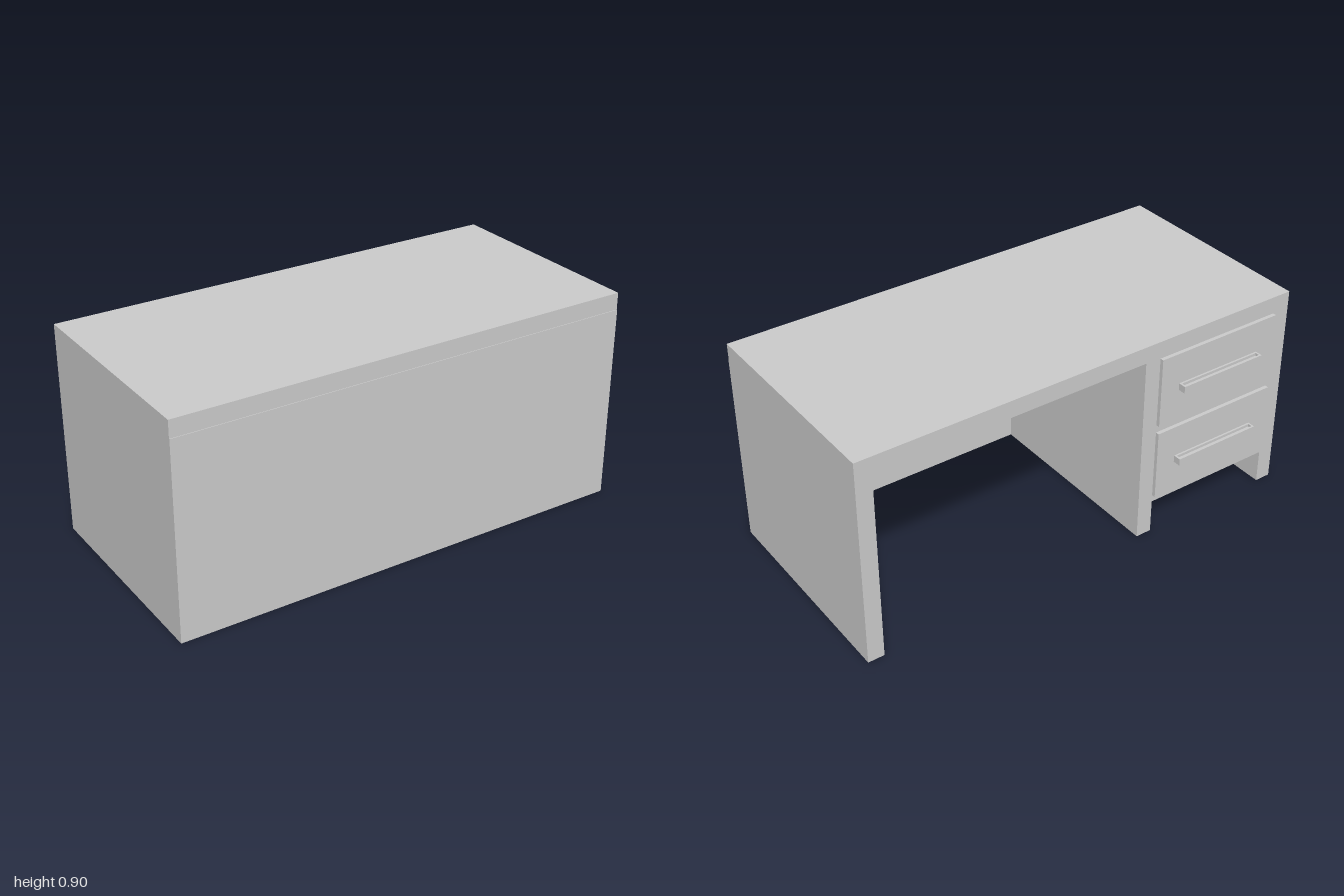
import * as THREE from 'three';

const material = new THREE.MeshStandardMaterial({ color: 0xcccccc, flatShading: true });

// Box given by its min and max extents on each axis
function box(name, [x0, x1], [y0, y1], [z0, z1]) {
  const mesh = new THREE.Mesh(new THREE.BoxGeometry(x1 - x0, y1 - y0, z1 - z0), material);
  mesh.position.set((x0 + x1) / 2, (y0 + y1) / 2, (z0 + z1) / 2);
  mesh.name = name;
  return mesh;
}

// Bar pull with a shallow finger groove along its top
function createHandle(y) {
  const handle = new THREE.Group();
  handle.name = 'handle';
  const x0 = -0.83, x1 = -0.43, z0 = -0.495, z1 = -0.461, t = 0.008;
  const base = [y - 0.015, y + 0.003], rim = [y + 0.003, y + 0.015];
  handle.add(
    box('handleBase', [x0, x1], base, [z0, z1]),
    box('handleOuterRim', [x0, x1], rim, [z0, z0 + t]),
    box('handleInnerRim', [x0, x1], rim, [z1 - t, z1]),
    box('handleLeftEnd', [x1 - t, x1], rim, [z0 + t, z1 - t]),
    box('handleRightEnd', [x0, x0 + t], rim, [z0 + t, z1 - t])
  );
  return handle;
}

export function createModel() {
  const desk = new THREE.Group();
  desk.name = 'desk';
  const back = -0.445, panelZ = 0.445, topY = 0.833;

  // Worktop and the full-width panel closing the front
  desk.add(box('worktop', [-1, 1], [topY, 0.905], [back, 0.492]));
  desk.add(box('frontPanel', [-1, 1], [0, topY], [panelZ, 0.495]));

  // Upright side boards, one of them dividing kneehole and drawers
  const uprights = { leftSide: [0.93, 1], divider: [-0.34, -0.27], rightSide: [-1, -0.93] };
  for (const [name, x] of Object.entries(uprights)) {
    desk.add(box(name, x, [0, topY], [back, panelZ]));
  }

  // Drawer cabinet hung between divider and right side
  desk.add(box('drawerCabinet', [-0.93, -0.34], [0.148, topY], [back, panelZ]));

  // Two drawers with raised fronts and pulls
  for (const [y0, y1, handleY] of [[0.18, 0.488, 0.334], [0.523, 0.83, 0.678]]) {
    const drawer = new THREE.Group();
    drawer.name = 'drawer';
    drawer.add(box('drawerFront', [-0.922, -0.34], [y0, y1], [-0.461, back]), createHandle(handleY));
    desk.add(drawer);
  }
  return desk;
}
